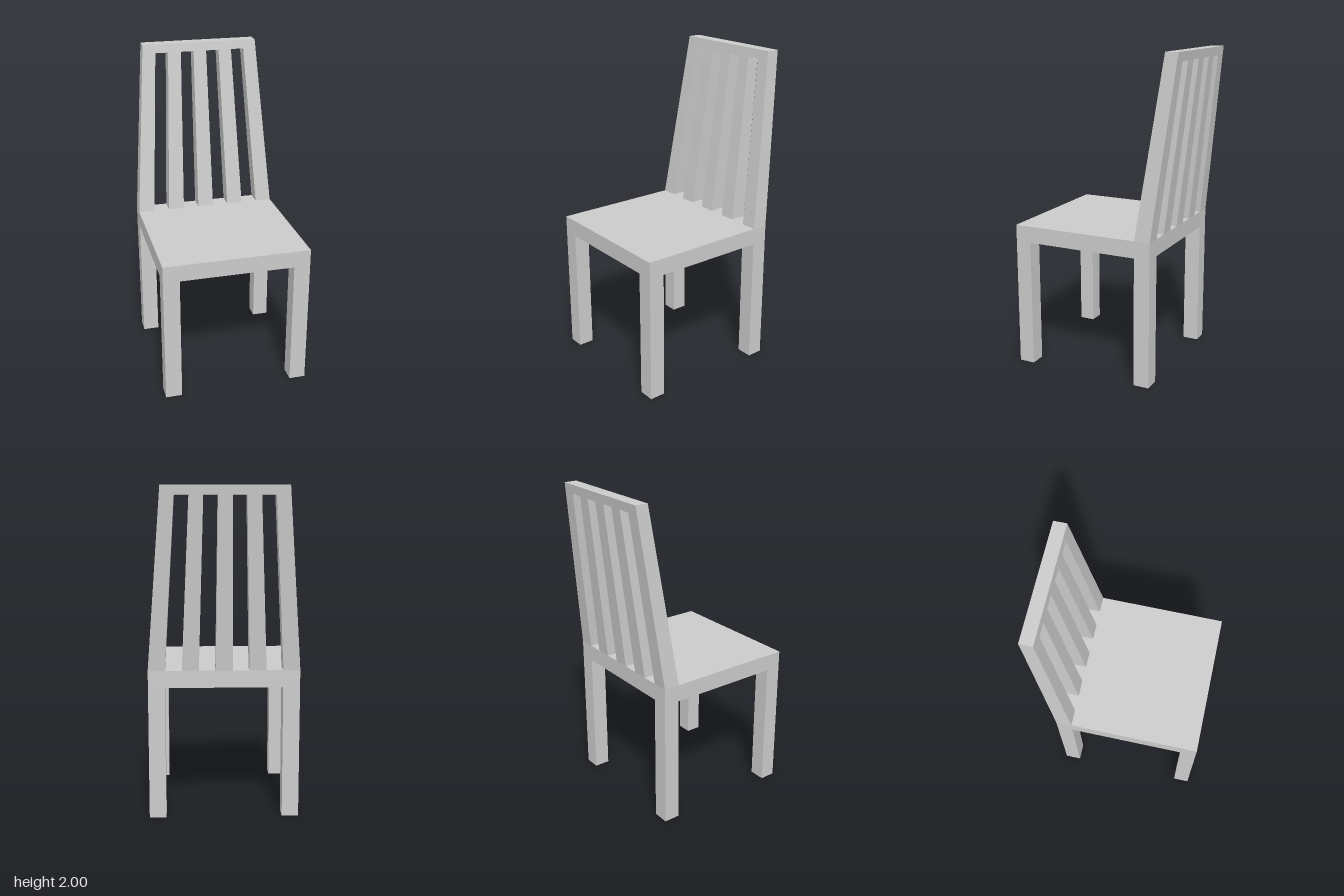
import * as THREE from 'three';

const HALF_W = 0.457, FRONT = 0.52, REAR = -0.395, POST = 0.102;
const SEAT_BOTTOM = 0.81, SEAT_TOP = 0.915, RAIL_BOTTOM = 1.945, TOP = 2;

const material = new THREE.MeshStandardMaterial({ color: 0xcccccc, flatShading: true });

// Box given by its minimum and maximum corners
function boxBetween(x0, x1, y0, y1, z0, z1) {
  const g = new THREE.BoxGeometry(x1 - x0, y1 - y0, z1 - z0);
  return g.translate((x0 + x1) / 2, (y0 + y1) / 2, (z0 + z1) / 2);
}

// Narrow and lean the backrest progressively above the seat
function leanBack(geometry) {
  const p = geometry.attributes.position;
  for (let i = 0; i < p.count; i++) {
    const t = (p.getY(i) - SEAT_TOP) / (TOP - SEAT_TOP);
    const depth = (p.getZ(i) - REAR) / 0.1; // 0 at the rear face, 1 at the front face
    const rear = THREE.MathUtils.lerp(REAR, -0.52, t);
    const front = THREE.MathUtils.lerp(REAR + 0.1, -0.44, t);
    p.setX(i, p.getX(i) * (1 - 0.19 * t));
    p.setZ(i, THREE.MathUtils.lerp(rear, front, depth));
  }
  geometry.computeVertexNormals();
  return geometry;
}

export function createModel() {
  const chair = new THREE.Group();
  chair.name = 'chair';
  const add = (parent, name, geometry) => {
    const mesh = new THREE.Mesh(geometry, material);
    mesh.name = name;
    parent.add(mesh);
  };

  // Seat slab
  add(chair, 'seat', boxBetween(-HALF_W, HALF_W, SEAT_BOTTOM, SEAT_TOP, REAR, FRONT));

  // Four square legs, flush with the seat corners
  for (const [side, x] of [['Left', HALF_W - POST], ['Right', -HALF_W]]) {
    add(chair, `front${side}Leg`, boxBetween(x, x + POST, 0, SEAT_BOTTOM, FRONT - 0.1, FRONT));
    add(chair, `rear${side}Leg`, boxBetween(x, x + POST, 0, SEAT_BOTTOM, REAR, REAR + 0.1));
  }

  // Backrest: five evenly spaced slats under a top rail
  const backrest = new THREE.Group();
  backrest.name = 'backrest';
  chair.add(backrest);
  for (let i = 0; i < 5; i++) {
    const x = -HALF_W + i * (2 * HALF_W - POST) / 4;
    add(backrest, `backSlat${i + 1}`,
      leanBack(boxBetween(x, x + POST, SEAT_TOP, RAIL_BOTTOM, REAR, REAR + 0.1)));
  }
  add(backrest, 'topRail',
    leanBack(boxBetween(-HALF_W, HALF_W, RAIL_BOTTOM, TOP, REAR, REAR + 0.1)));

  return chair;
}
